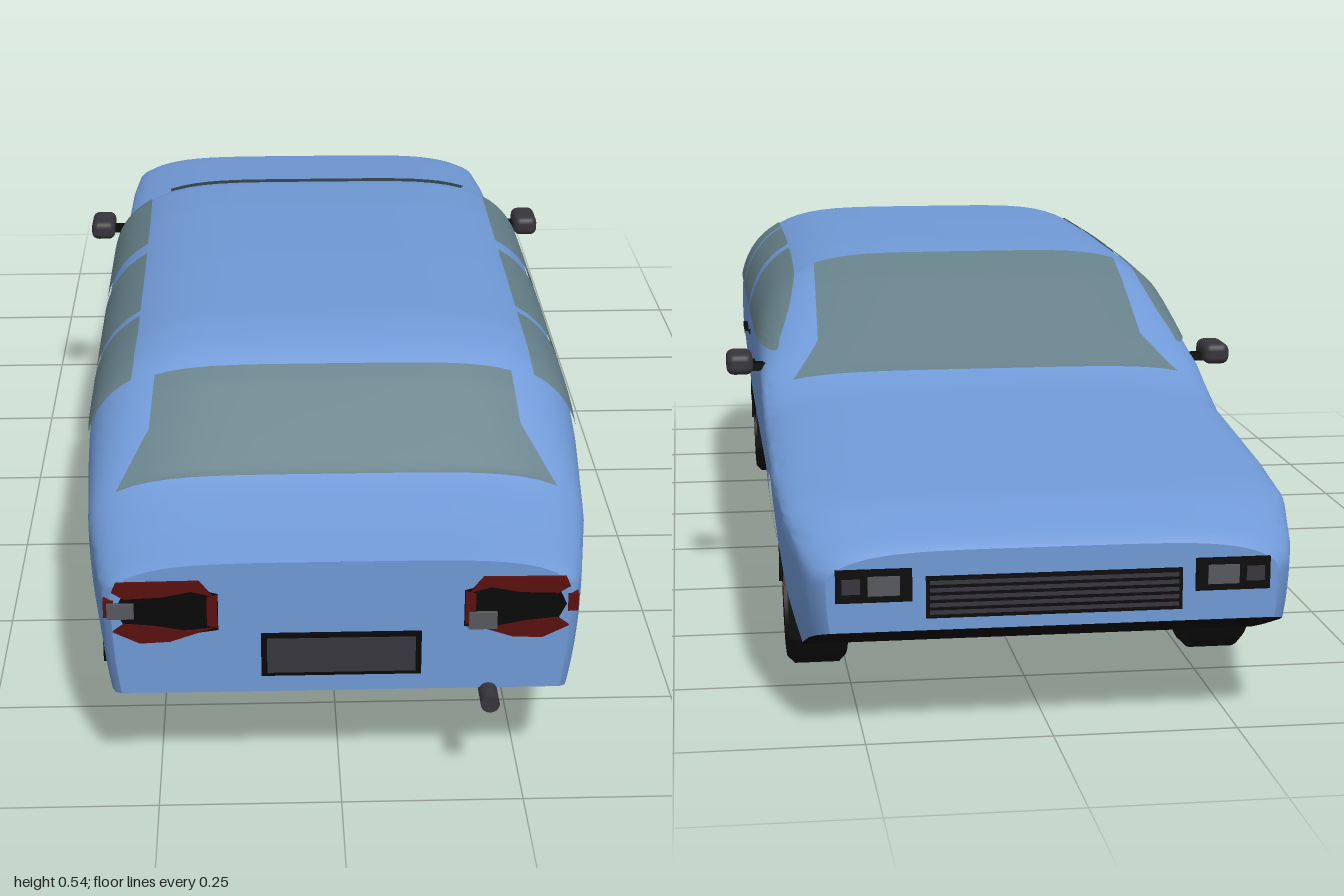
import * as THREE from 'three';
import { toCreasedNormals } from 'three/addons/utils/BufferGeometryUtils.js';
import { RoundedBoxGeometry } from 'three/addons/geometries/RoundedBoxGeometry.js';

const mat = (name, color, side = THREE.FrontSide) =>
  Object.assign(new THREE.MeshStandardMaterial({ color, side }), { name });
const M = {
  paint: mat('blue paint', 0x7099d6),
  glass: mat('tinted glass', 0x657f88, THREE.DoubleSide),
  black: mat('black trim', 0x080808, THREE.DoubleSide),
  tyre: mat('tyre rubber', 0x111112),
  grey: mat('dark grey plastic', 0x37353c),
  rim: mat('rim metal', 0x45434a),
  red: mat('tail light red', 0x5a100e),
  caliper: mat('caliper red', 0xa01818),
  lens: mat('lamp lens', 0x55585c),
};

// Body tables, read along z (the nose points to -z)
const TOP = [[-1, .262], [-.985, .275], [-.9, .305], [-.65, .335], [-.42, .362], [-.36, .378], [-.16, .495],
  [-.09, .526], [.05, .535], [.3, .54], [.55, .538], [.62, .525], [.68, .488], [.8, .405], [.83, .392], [.9, .372], [.965, .358]];
const BELT = [[-1, .22], [-.85, .275], [-.45, .31], [-.3, .36], [-.1, .37], [.6, .37], [.8, .33], [.965, .31]];
const WIDTH = [[-1, .3], [-.985, .318], [-.95, .33], [-.85, .348], [-.7, .355], [.65, .355], [.8, .347], [.93, .326], [.955, .318], [.965, .308]];
const BASE = [[-1, .155], [-.96, .14], [-.8, .078], [.74, .078], [.965, .16]];
const AXLES = [-.63, .6], ARCH = .148, HUB = .132, Q = 5;

function at(table, z) {
  const i = Math.max(1, table.findIndex(p => p[0] >= z));
  const [a, b] = [table[i - 1], table[i]];
  return THREE.MathUtils.lerp(a[1], b[1], (z - a[0]) / (b[0] - a[0]));
}

// Half width of the body at a height, and roof height at an x
function halfX(z, y) {
  const b = at(BELT, z), w = at(WIDTH, z);
  if (y <= b) return w * (1 - .09 * Math.pow(Math.min(1, (b - y) / (b - .078)), 2.2));
  const u = Math.min(1, (y - b) / (at(TOP, z) - b));
  return w * Math.pow(1 - u * u, 1 / Q);
}
function topY(z, x) {
  const b = at(BELT, z);
  return b + (at(TOP, z) - b) * Math.sqrt(1 - Math.pow(Math.abs(x) / at(WIDTH, z), Q));
}
const inArch = z => AXLES.find(c => Math.abs(z - c) <= ARCH + 1e-6);
function lowerEdge(z) {
  const c = inArch(z);
  return c === undefined ? at(BASE, z) : HUB + Math.sqrt(Math.max(0, ARCH ** 2 - (z - c) ** 2));
}

// Surface through rows of [x, y, z] points
function grid(rows) {
  const n = rows[0].length, index = [];
  for (let i = 0; i < rows.length - 1; i++) for (let j = 0; j < n - 1; j++) {
    const a = i * n + j, c = a + n;
    index.push(a, a + 1, c, a + 1, c + 1, c);
  }
  const g = new THREE.BufferGeometry();
  g.setAttribute('position', new THREE.Float32BufferAttribute(rows.flat(2), 3));
  g.setIndex(index);
  return toCreasedNormals(g, .6);
}
const span = (a, b, n) => Array.from({ length: n + 1 }, (_, i) => a + (b - a) * i / n);

function section(z) {
  const e = lowerEdge(z), b = at(BELT, z), t = at(TOP, z);
  const half = span(0, 1, 8).map(k => e + (b - e) * k).map(y => [halfX(z, y), y, z]);
  for (const k of span(0, 1, 16).slice(1)) {
    const a = (1 - (1 - k) ** 1.6) * Math.PI / 2;
    half.push([k === 1 ? 0 : at(WIDTH, z) * Math.pow(Math.cos(a), 2 / Q), b + (t - b) * Math.sin(a), z]);
  }
  return half.concat(half.slice(0, -1).reverse().map(([x, y]) => [-x, y, z]));
}

export function createModel() {
  const car = new THREE.Group();
  car.name = 'car';
  const add = (name, geo, material, x = 0, y = 0, z = 0, parent = car) => {
    const m = new THREE.Mesh(geo, material);
    m.name = name;
    m.position.set(x, y, z);
    parent.add(m);
    return m;
  };
  const box = (name, w, h, d, material, x, y, z) => add(name, new THREE.BoxGeometry(w, h, d), material, x, y, z);

  // Body shell with wheel arches cut into its lower edge
  const stations = span(-1, .965, 110).concat([-.985, .955]);
  for (const c of AXLES) stations.push(c - ARCH - .0005, c - ARCH, c - ARCH * .97, c + ARCH * .97, c + ARCH, c + ARCH + .0005);
  stations.sort((a, b) => a - b);
  add('bodyShell', grid(stations.map(section)), M.paint);
  const cap = (z, s) => {
    const p = section(z), m = p.length - 1;
    return grid(p.slice(0, m / 2).map((q, k) => s > 0 ? [p[m - k], q] : [q, p[m - k]]));
  };
  add('rearPanel', cap(.965, 1), M.paint);
  add('nosePanel', cap(-1, -1), M.paint);

  // Underside
  add('underside', grid(stations.map(z => {
    const y = at(BASE, z), w = inArch(z) === undefined ? halfX(z, y) : .235;
    return [[-w, y, z], [w, y, z]];
  })), M.black);
  box('floorPan', .47, .03, 1.24, M.black, 0, .078, -.01);

  // Windscreen and rear window follow the roof surface
  const pane = (name, z0, z1, width) => add(name, grid(span(z0, z1, 24).map(z =>
    span(1, -1, 24).map(k => [k * at(width, z), topY(z, k * at(width, z)) + .005, z]))), M.glass);
  pane('windscreen', -.368, -.09, [[-.37, .308], [-.29, .262], [-.08, .255]]);
  pane('rearWindow', .655, .805, [[.65, .255], [.73, .262], [.81, .31]]);

  // Side windows, handles, mirrors
  for (const s of [1, -1]) {
    const side = s > 0 ? 'left' : 'right';
    [[-.275, .165], [.21, .455], [.475, .645]].forEach(([a, b], i) =>
      add(side + 'Window' + (i + 1), grid(span(a, b, 16).map(z => {
        const hi = Math.max(.403, Math.min(.512, at(TOP, z) - .028));
        return span(.4, hi, 10).map(y => [s * (halfX(z, y) + .004), y, z]);
      })), M.glass));
    for (const z of [.335, -.065]) box(side + 'DoorHandle', .012, .01, .055, M.black, s * .356, .34, z);
    box(side + 'DoorLock', .006, .008, .008, M.black, s * .355, .356, .177);
    add(side + 'Mirror', new RoundedBoxGeometry(.042, .034, .07, 3, .012), M.grey, s * .387, .383, -.27);
    box(side + 'MirrorStalk', .04, .012, .02, M.black, s * .36, .376, -.275);
  }

  // Wheel wells and wheels
  for (const c of AXLES) for (const s of [1, -1]) {
    const path = [[c - ARCH, .078], ...span(Math.PI, 0, 24).map(a => [c + ARCH * Math.cos(a), HUB + ARCH * Math.sin(a)]), [c + ARCH, .078]];
    add('wheelWell', grid(path.map(([z, y]) => [[s * .235, y, z], [s * .338, y, z]])), M.black);
    const wall = new THREE.ShapeGeometry(new THREE.Shape(path.map(p => new THREE.Vector2(...p)))).rotateY(-Math.PI / 2);
    add('wheelWellWall', wall, M.black, s * .235);

    const wheel = new THREE.Group();
    wheel.name = c < 0 ? 'frontWheel' : 'rearWheel';
    wheel.position.set(s * .293, HUB, c);
    wheel.rotation.y = s > 0 ? 0 : Math.PI;
    car.add(wheel);
    const tyre = [[.09, -.042], [.12, -.042], [.13, -.032], [.13, .032], [.12, .042], [.09, .042], [.086, .02], [.086, -.042], [.09, -.042]]
      .map(p => new THREE.Vector2(...p));
    const lathe = toCreasedNormals(new THREE.LatheGeometry(tyre, 36), .5).rotateZ(-Math.PI / 2);
    add('tyre', lathe, M.tyre, 0, 0, 0, wheel);
    const disc = (name, r, w, x, m) => add(name, new THREE.CylinderGeometry(r, r, w, 28).rotateZ(Math.PI / 2), m, x, 0, 0, wheel);
    disc('brakeDisc', .087, .03, -.02, M.grey);
    disc('hub', .026, .03, .012, M.black);
    add('rimRing', new THREE.TorusGeometry(.082, .007, 8, 32).rotateY(Math.PI / 2), M.rim, .03, 0, 0, wheel);
    for (let i = 0; i < 5; i++) {
      const spoke = new THREE.BoxGeometry(.012, .06, .024).translate(0, .052, 0).rotateX(i * Math.PI * .4);
      add('spoke', spoke, M.rim, .014, 0, 0, wheel);
    }
    add('brakeCaliper', new THREE.BoxGeometry(.016, .03, .016), M.caliper, .004, .045, -.03 * s, wheel);
    // Rear wheels are half covered
    if (c > 0) {
      const cover = new THREE.CircleGeometry(ARCH - .002, 32, 0, Math.PI).rotateY(Math.PI / 2);
      add('rearWheelCover', cover, M.black, s * .339, HUB - .004, c);
    }
  }

  // Tail lights as layered plates
  const plate = (name, pts, s, z, m) => {
    const shape = new THREE.Shape(pts.map(([x, y]) => new THREE.Vector2(s * x, y)));
    add(name, new THREE.ExtrudeGeometry(shape, { depth: .004, bevelEnabled: false }), m, 0, 0, z);
  };
  for (const s of [1, -1]) {
    plate('tailLightHousing', [[.165, .258], [.165, .312], [.2, .322], [.29, .316], [.302, .29], [.285, .255], [.25, .246]], s, .963, M.black);
    plate('tailLightUpper', [[.172, .31], [.2, .318], [.24, .31], [.29, .308], [.306, .318], [.3, .332], [.19, .333]], s, .965, M.red);
    plate('tailLightLower', [[.172, .262], [.21, .258], [.25, .266], [.29, .27], [.306, .258], [.27, .24], [.23, .242]], s, .965, M.red);
    plate('tailLightInner', [[.166, .262], [.166, .312], [.18, .308], [.18, .266]], s, .965, M.red);
    box('tailLightCorner', .014, .026, .03, M.red, s * .311, .292, .952);
  }
  box('reverseLamp', .038, .025, .006, M.lens, .19, .268, .969);
  box('fogLamp', .036, .022, .006, M.lens, -.295, .29, .969);

  // Rear plate and exhaust
  box('plateFrame', .216, .064, .006, M.black, 0, .219, .967);
  box('plate', .2, .052, .004, M.grey, 0, .219, .97);
  add('exhaustPipe', new THREE.CylinderGeometry(.013, .013, .12, 16).rotateX(Math.PI / 2), M.grey, .2, .155, .94);

  // Grille and headlights
  box('grille', .34, .056, .006, M.black, 0, .2, -1.001);
  for (const y of span(.18, .22, 4)) box('grilleSlat', .33, .005, .004, M.grey, 0, y, -1.004);
  for (const s of [1, -1]) {
    box('headlightHousing', .1, .044, .006, M.black, s * .238, .218, -1.001);
    box('headlightLens', .042, .026, .004, M.lens, s * .225, .218, -1.004);
    box('indicator', .024, .02, .004, M.grey, s * .268, .218, -1.004);
  }
  return car;
}
